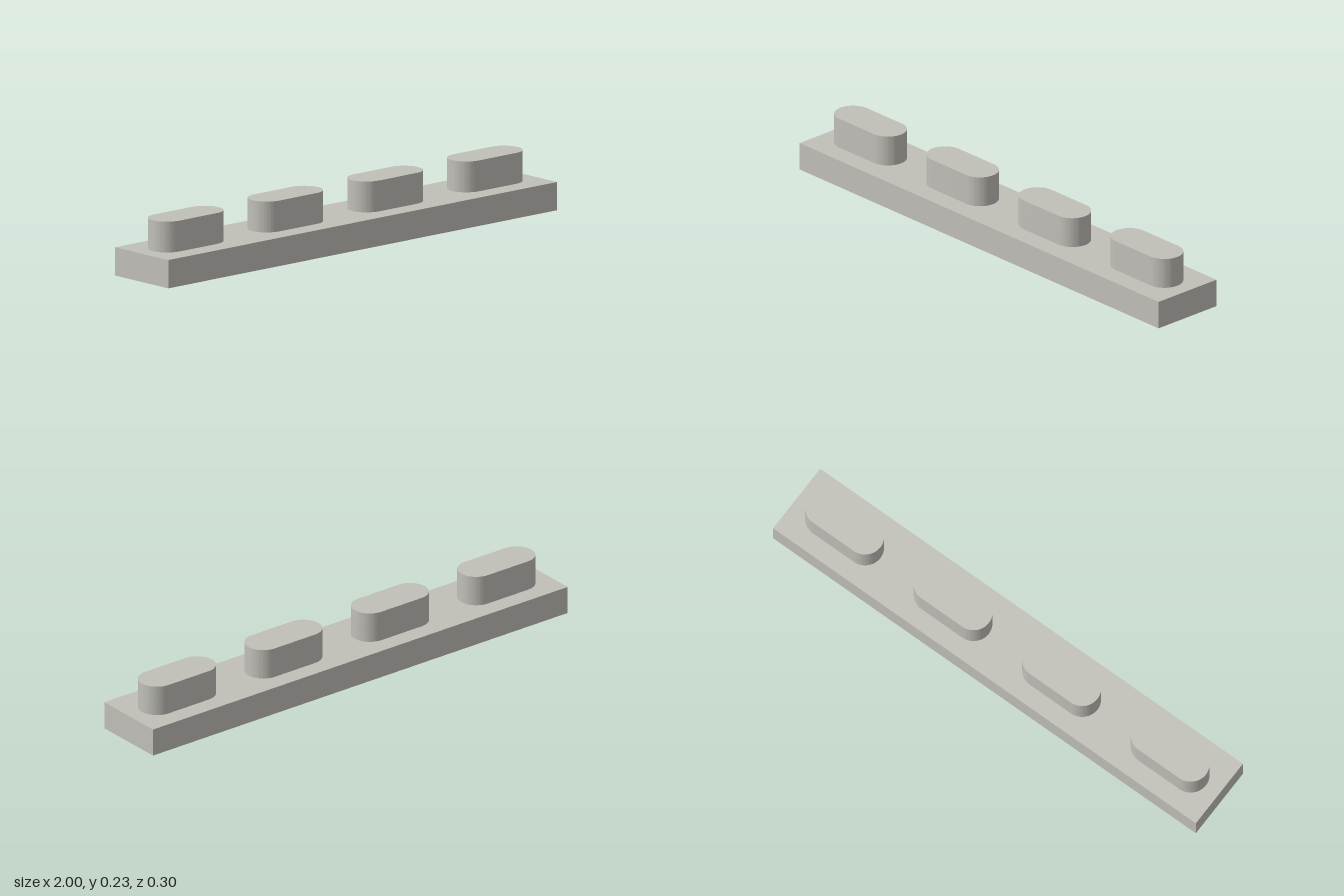
import * as THREE from 'three';
import { toCreasedNormals } from 'three/addons/utils/BufferGeometryUtils.js';

const PEG_X = [-0.77, -0.257, 0.257, 0.77];
const PEG_Z = -0.004;

// Rectangle outline as a Shape or a hole Path; plan y maps to -z
function rect(Type, cx, cz, halfX, halfZ) {
  const p = new Type();
  p.moveTo(cx - halfX, -cz - halfZ);
  p.lineTo(cx + halfX, -cz - halfZ);
  p.lineTo(cx + halfX, -cz + halfZ);
  p.lineTo(cx - halfX, -cz + halfZ);
  p.closePath();
  return p;
}

// Round-ended peg outline
function stadium(cx, cz, halfX, r) {
  const s = new THREE.Shape();
  const d = halfX - r;
  s.absarc(cx + d, -cz, r, -Math.PI / 2, Math.PI / 2, false);
  s.absarc(cx - d, -cz, r, Math.PI / 2, Math.PI * 1.5, false);
  s.closePath();
  return s;
}

// Extrude a plan shape upward from y0 to y1
function slab(shape, y0, y1) {
  const g = new THREE.ExtrudeGeometry(shape, { depth: y1 - y0, bevelEnabled: false, curveSegments: 24 });
  g.rotateX(-Math.PI / 2);
  g.translate(0, y0, 0);
  return toCreasedNormals(g, 0.6);
}

export function createModel() {
  const group = new THREE.Group();
  const grey = new THREE.MeshStandardMaterial({ color: 0xc0bfb8 });
  grey.name = 'warm grey';
  const add = (name, geometry) => {
    const mesh = new THREE.Mesh(geometry, grey);
    mesh.name = name;
    group.add(mesh);
  };
  const slot = (x) => rect(THREE.Path, x, 0, 0.1, 0.025);

  // Bar: wide pockets underneath, narrower slots above them
  const lower = rect(THREE.Shape, 0, 0, 1, 0.15);
  const upper = rect(THREE.Shape, 0, 0, 1, 0.15);
  for (const x of PEG_X) {
    lower.holes.push(rect(THREE.Path, x, 0.003, 0.16, 0.09));
    upper.holes.push(slot(x));
  }
  add('barPocketLayer', slab(lower, 0, 0.064));
  add('barTopLayer', slab(upper, 0.064, 0.11));

  // Pegs: slotted below, solid cap above
  PEG_X.forEach((x, i) => {
    const body = stadium(x, PEG_Z, 0.169, 0.072);
    body.holes.push(slot(x));
    add(`pegBody${i + 1}`, slab(body, 0.11, 0.18));
    add(`pegCap${i + 1}`, slab(stadium(x, PEG_Z, 0.169, 0.072), 0.18, 0.23));
  });
  return group;
}
